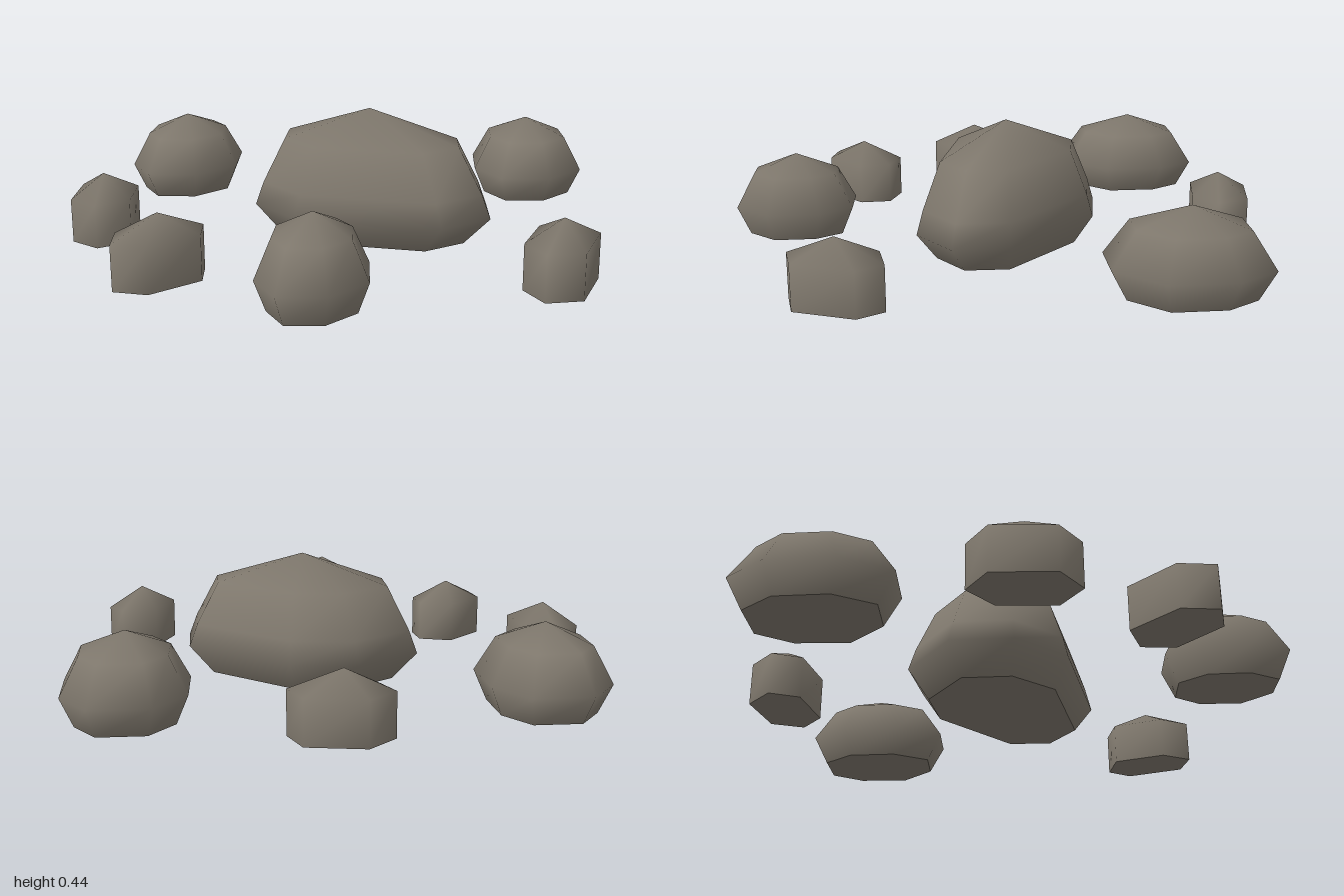
import * as THREE from 'three';

const stone = new THREE.MeshStandardMaterial({ color: 0x7e776c });
stone.name = 'stone';

// Rock skinned over scaled copies of one outline, closed by a peak and a flat base.
// outline: [x, z] clockwise from above; rings: [scale, y] from base to shoulder
function rockGeometry(outline, rings, peak) {
  const n = outline.length;
  const pos = [];
  const index = [];
  const addRing = ([s, y]) => outline.forEach(([x, z]) => pos.push(x * s, y, z * s));
  rings.forEach(addRing);
  pos.push(0, peak, 0);
  const apex = rings.length * n;
  const base = apex + 1;
  addRing(rings[0]); // separate base corners keep the lower edge sharp
  for (let i = 0; i < n; i++) {
    const j = (i + 1) % n;
    for (let r = 0; r < rings.length - 1; r++) {
      const a = r * n, b = a + n;
      index.push(a + j, a + i, b + i, a + j, b + i, b + j);
    }
    index.push(apex - n + j, apex - n + i, apex);
    if (i > 0 && j > 0) index.push(base, base + i, base + j);
  }
  const g = new THREE.BufferGeometry();
  g.setAttribute('position', new THREE.Float32BufferAttribute(pos, 3));
  g.setIndex(index);
  g.computeVertexNormals();
  return g;
}

export function createModel() {
  const model = new THREE.Group();
  model.name = 'rocks';

  const addRock = (name, x, z, outline, rings, peak) => {
    const mesh = new THREE.Mesh(rockGeometry(outline, rings, peak), stone);
    mesh.name = name;
    mesh.position.set(x, 0, z);
    model.add(mesh);
  };
  const around = (points, cx, cz) => points.map(([x, z]) => [x - cx, z - cz]);

  // Central boulder
  const boulder = [[-0.37, -0.02], [-0.29, -0.22], [-0.02, -0.29], [0.19, -0.18],
    [0.405, 0.23], [0.34, 0.41], [0.14, 0.46], [-0.29, 0.2]];
  addRock('boulder', 0.02, 0.08, around(boulder, 0.02, 0.08),
    [[0.79, 0], [1, 0.1], [0.93, 0.18], [0.74, 0.335]], 0.44);

  // Three medium rocks sharing one outline
  const medium = [[-0.225, 0.025], [-0.145, -0.175], [0, -0.265], [0.185, -0.195],
    [0.225, -0.035], [0.155, 0.175], [-0.025, 0.265], [-0.195, 0.205]];
  [['backRock', -0.485, -0.695, 1], ['leftRock', 0.775, -0.215, 1], ['frontRock', -0.38, 0.735, 0.82]]
    .forEach(([name, x, z, s]) => addRock(name, x, z, medium.map(([px, pz]) => [px * s, pz * s]),
      [[0.8, 0.01], [1, 0.11], [0.7, 0.23]], 0.295));

  // Small upright stones
  const small = [
    ['backStone', 0.235, -0.67, [[0.095, -0.75], [0.215, -0.8], [0.385, -0.7], [0.385, -0.58], [0.275, -0.54], [0.1, -0.64]]],
    ['rightStone', -0.88, -0.16, [[-0.94, -0.29], [-0.82, -0.32], [-0.755, -0.21], [-0.81, -0.03], [-0.93, 0], [-1, -0.1]]],
    ['frontRightStone', -0.775, 0.365, [[-0.9, 0.31], [-0.72, 0.23], [-0.62, 0.31], [-0.65, 0.42], [-0.83, 0.49], [-0.93, 0.43]]],
    ['frontLeftStone', 0.4, 0.81, [[0.39, 0.665], [0.52, 0.69], [0.54, 0.79], [0.4, 0.95], [0.28, 0.93], [0.265, 0.81]]],
  ];
  small.forEach(([name, x, z, points]) =>
    addRock(name, x, z, around(points, x, z), [[1, 0], [1, 0.15]], 0.22));

  return model;
}
